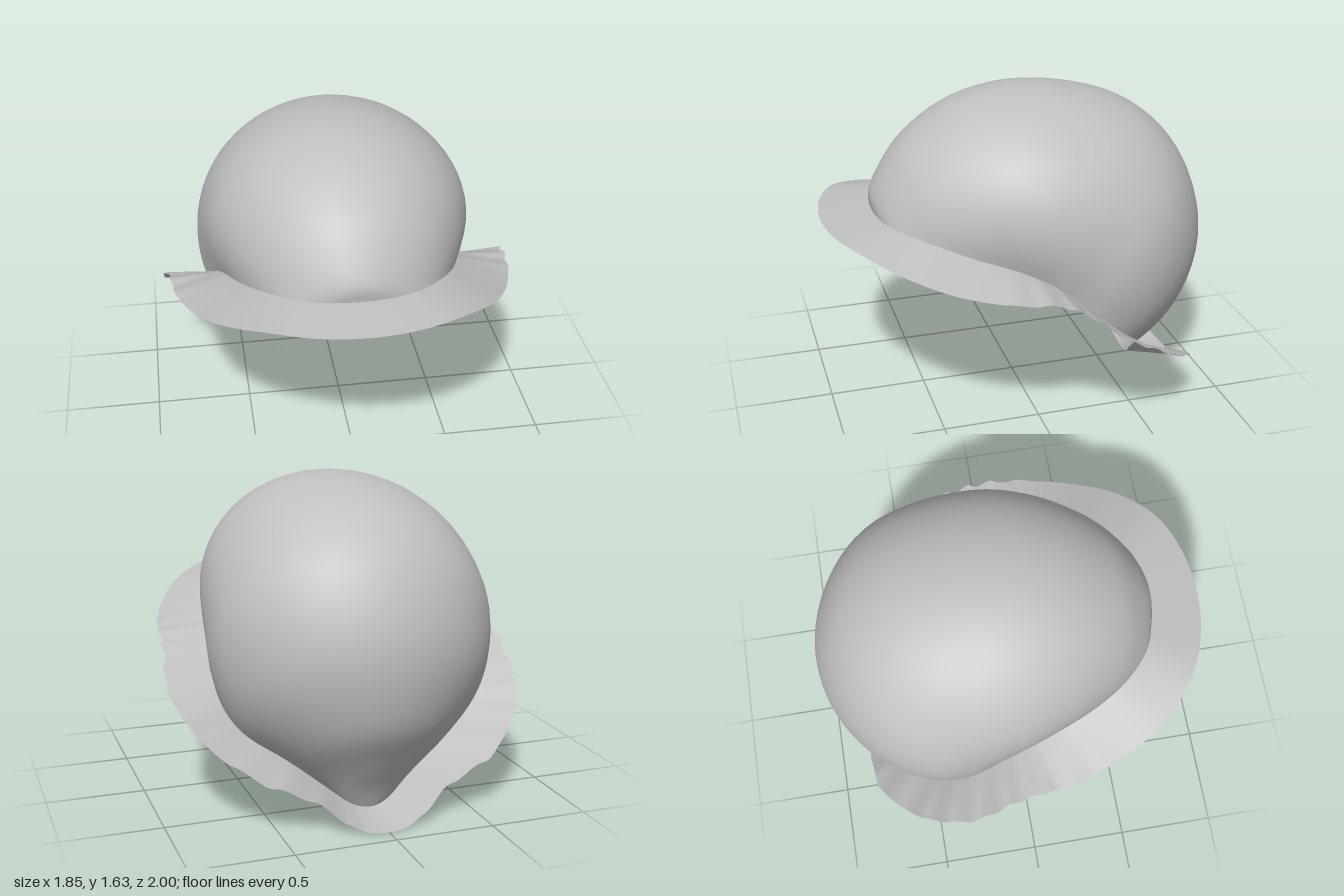
import * as THREE from 'three';

// Matching stations from the front to the back of the head opening (+x half)
const RIM = [[0, 1.045, 0.74], [0.16, 1.045, 0.725], [0.3, 1.04, 0.67], [0.44, 1.01, 0.53], [0.54, 0.95, 0.34],
  [0.6, 0.89, 0.15], [0.635, 0.82, 0], [0.66, 0.74, -0.12], [0.68, 0.62, -0.26], [0.65, 0.5, -0.38],
  [0.57, 0.4, -0.47], [0.4, 0.29, -0.56], [0.22, 0.15, -0.6], [0.1, 0.06, -0.64], [0, 0.03, -0.65]];
const CREST = [[0, 1.045, 0.74], [0, 1.13, 0.738], [0, 1.27, 0.66], [0, 1.41, 0.54], [0, 1.55, 0.32],
  [0, 1.62, 0.05], [0, 1.612, -0.25], [0, 1.525, -0.57], [0, 1.355, -0.8], [0, 1.12, -0.94],
  [0, 0.85, -0.997], [0, 0.54, -0.95], [0, 0.31, -0.815], [0, 0.15, -0.71], [0, 0.03, -0.65]];
const EDGE = [[0, 1.02, 1], [0.24, 1.02, 0.97], [0.46, 1.01, 0.875], [0.65, 0.95, 0.7], [0.78, 0.88, 0.47],
  [0.86, 0.84, 0.22], [0.885, 0.82, 0.02], [0.9, 0.75, -0.13], [0.92, 0.62, -0.3], [0.875, 0.51, -0.48],
  [0.78, 0.4, -0.64], [0.58, 0.275, -0.8], [0.35, 0.17, -0.83], [0.16, 0.03, -0.88], [0, 0, -0.91]];

const curve = (pts, closed) =>
  new THREE.CatmullRomCurve3(pts.map((p) => new THREE.Vector3(...p)), closed, 'catmullrom', 0.5);
// Closed loop through a half outline and its mirror image; the front half of its range is the +x side
const loop = (pts) => curve([...pts, ...pts.slice(1, -1).reverse().map(([x, y, z]) => [-x, y, z])], true);

// Smooth surface from a rule giving the point at row i, column j
function grid(rows, cols, point, closed = false) {
  const pos = [], idx = [];
  const n = closed ? rows : rows + 1;
  for (let i = 0; i < n; i++)
    for (let j = 0; j <= cols; j++) pos.push(...point(i, j));
  for (let i = 0; i < rows; i++)
    for (let j = 0; j < cols; j++) {
      const a = i * (cols + 1) + j, b = ((i + 1) % n) * (cols + 1) + j;
      idx.push(a, b, a + 1, b, b + 1, a + 1);
    }
  const g = new THREE.BufferGeometry();
  g.setAttribute('position', new THREE.Float32BufferAttribute(pos, 3));
  g.setIndex(idx);
  g.computeVertexNormals();
  return g;
}

export function createModel() {
  const group = new THREE.Group();
  const cloth = new THREE.MeshStandardMaterial({ color: 0xc0c0c0, side: THREE.DoubleSide });
  cloth.name = 'grey cloth';
  const rim = loop(RIM), edge = loop(EDGE), crest = curve(CREST, false);
  const { smoothstep } = THREE.MathUtils;

  // Crown: arches cut from ellipses, from one side of the opening over the crest to the other
  const rows = 70, cols = 40;
  const crown = new THREE.Mesh(grid(rows, cols, (i, j) => {
    const u = i / rows, r = rim.getPoint(u / 2), c = crest.getPoint(u);
    const t = (j / cols) * Math.PI, s = Math.sin(t);
    const full = 0.3 + 2 * smoothstep(u, 0.1, 0.42) - 1.2 * smoothstep(u, 0.42, 0.85);
    const x = Math.sign(cols / 2 - j) * r.x * Math.sqrt((1 - s) * (1 + full * s));
    return [x, r.y + (c.y - r.y) * s, r.z + (c.z - r.z) * s];
  }), cloth);
  crown.name = 'crown';
  group.add(crown);

  // Brim: a band around the whole opening, lightly ruffled along the sides and back
  const half = 112;
  const brim = new THREE.Mesh(grid(half * 2, 2, (i, j) => {
    const u = 1 - Math.abs(1 - i / half), side = i <= half ? 1 : -1;
    const p = edge.getPoint(i / half / 2).lerp(rim.getPoint(i / half / 2), j / 2);
    const ruffle = 0.011 * Math.sin(u * 110) * (1 - j / 2)
      * smoothstep(u, 0.28, 0.45) * (1 - smoothstep(u, 0.88, 0.98));
    return [p.x + side * ruffle * 0.7, p.y + ruffle, p.z + ruffle * 0.5];
  }, true), cloth);
  brim.name = 'brim';
  group.add(brim);
  return group;
}
